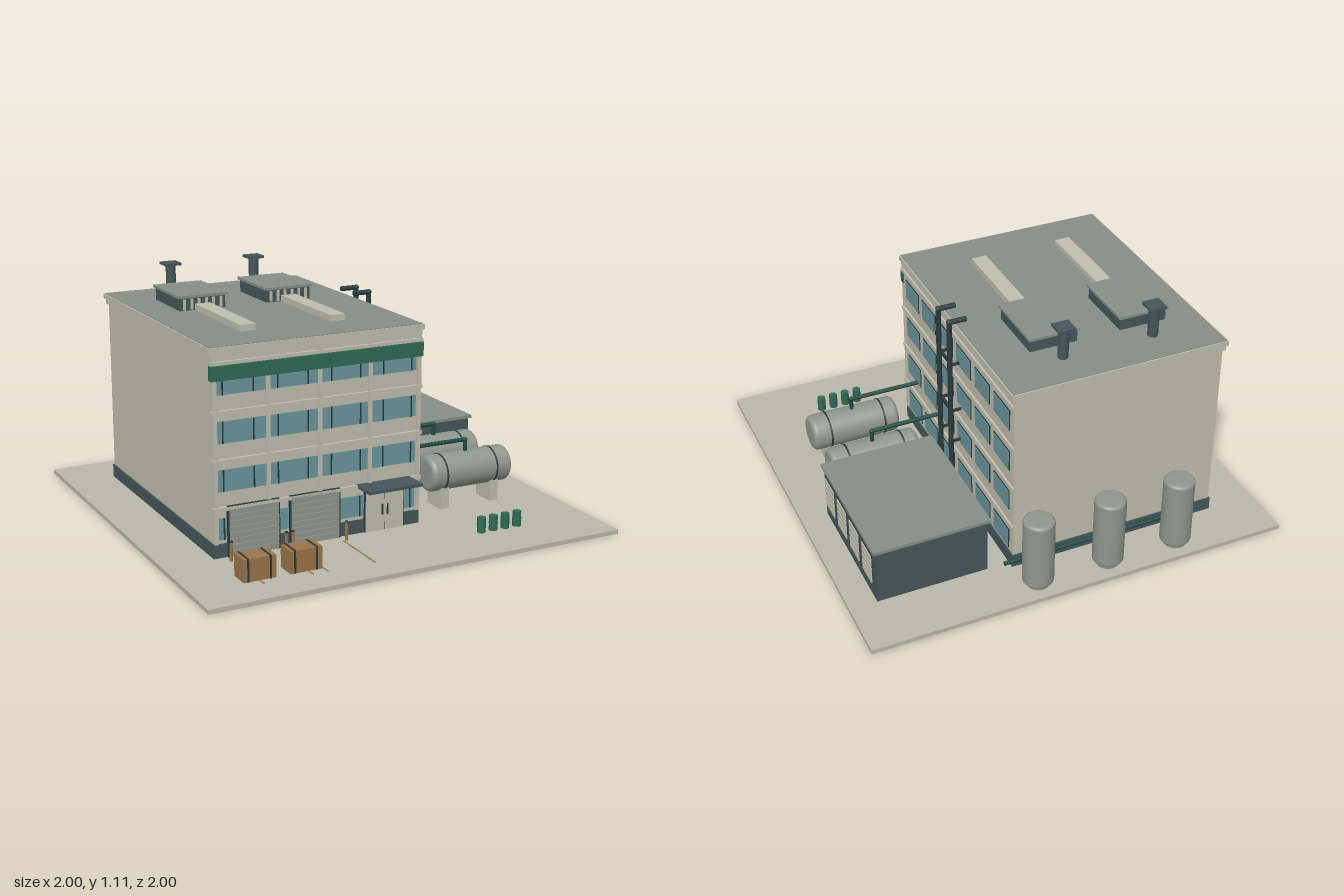
import * as THREE from 'three';

const mat = (name, color) => {
  const m = new THREE.MeshStandardMaterial({ color });
  m.name = name;
  return m;
};

export function createModel() {
  const model = new THREE.Group();
  model.name = 'factory';
  const M = {
    wall: mat('wall', 0xbfbdac),
    concrete: mat('concrete', 0xb9b7a8),
    roof: mat('roof grey', 0x868e86),
    slate: mat('slate', 0x45565a),
    glass: mat('glass', 0x6a949d),
    green: mat('green', 0x2f6a56),
    pipe: mat('pipe green', 0x1f4a42),
    dark: mat('dark metal', 0x2b3b3e),
    metal: mat('tank metal', 0x8f968e),
    wood: mat('wood', 0x9a744a),
  };

  const add = (name, geo, m, x = 0, y = 0, z = 0) => {
    const mesh = new THREE.Mesh(geo, m);
    mesh.name = name;
    mesh.position.set(x, y, z);
    model.add(mesh);
    return mesh;
  };
  // Box given by its extents on each axis
  const box = (name, m, x0, x1, y0, y1, z0, z1) =>
    add(name, new THREE.BoxGeometry(x1 - x0, y1 - y0, z1 - z0), m, (x0 + x1) / 2, (y0 + y1) / 2, (z0 + z1) / 2);
  const cyl = (name, m, r, y0, y1, x, z, n = 20) =>
    add(name, new THREE.CylinderGeometry(r, r, y1 - y0, n), m, x, (y0 + y1) / 2, z);
  // Straight pipe runs with ball elbows
  const pipe = (name, m, r, pts) => {
    const v = pts.map((p) => new THREE.Vector3(...p));
    for (let i = 1; i < v.length; i++) {
      const d = v[i].clone().sub(v[i - 1]);
      const run = add(name, new THREE.CylinderGeometry(r, r, d.length(), 12), m);
      run.position.copy(v[i]).add(v[i - 1]).multiplyScalar(0.5);
      run.quaternion.setFromUnitVectors(new THREE.Vector3(0, 1, 0), d.normalize());
      if (i < v.length - 1) add(name + 'Elbow', new THREE.SphereGeometry(r * 1.1, 12, 8), m, ...pts[i]);
    }
  };
  // Closed vessel with rounded shoulders, centred along y
  const vessel = (r, len, e) => {
    const pts = [new THREE.Vector2(0, -len / 2)];
    for (const s of [-1, 1]) {
      for (let i = 0; i <= 4; i++) {
        const a = ((s < 0 ? i : 4 - i) / 4) * Math.PI / 2;
        pts.push(new THREE.Vector2(r - e + e * Math.sin(a), s * (len / 2 - e + e * Math.cos(a))));
      }
    }
    pts.push(new THREE.Vector2(0, len / 2));
    return new THREE.LatheGeometry(pts, 28);
  };

  // Ground slab
  box('groundSlab', M.concrete, -1, 1, 0, 0.02, -1, 1);

  // Main block
  box('mainBlock', M.wall, -0.76, 0.24, 0.02, 0.9, -0.755, 0.505);
  box('plinth', M.slate, -0.766, 0.246, 0.02, 0.083, -0.761, 0.511);
  box('cornice', M.wall, -0.772, 0.247, 0.9, 0.925, -0.762, 0.517);
  box('coping', M.wall, -0.78, 0.254, 0.925, 0.948, -0.768, 0.523);
  box('roof', M.roof, -0.774, 0.248, 0.94, 0.951, -0.762, 0.517);

  // Floor ledges on the front and right side
  for (const y of [0.24, 0.452, 0.665, 0.877]) {
    box('frontLedge', M.wall, -0.768, 0.25, y - 0.008, y + 0.008, 0.5, 0.52);
    box('sideLedge', M.wall, 0.235, 0.25, y - 0.008, y + 0.008, -0.758, 0.51);
  }

  // Windows
  const floors = [0.1, 0.315, 0.528, 0.74];
  for (const y of floors) {
    box('frontGlass', M.glass, -0.74, 0.222, y, y + 0.097, 0.504, 0.509);
    for (let i = 0; i < 4; i++) {
      for (const x of [-0.715, -0.572]) {
        const c = x + i * 0.2567;
        box('frontMullion', M.dark, c - 0.003, c + 0.003, y, y + 0.097, 0.506, 0.512);
      }
    }
    for (let i = 0; i < 6; i++) {
      const z = 0.392 - i * 0.2054;
      box('sideWindowFrame', M.dark, 0.238, 0.243, y - 0.003, y + 0.1, z - 0.081, z + 0.081);
      box('sideWindowGlass', M.glass, 0.24, 0.2455, y + 0.002, y + 0.095, z - 0.076, z + 0.076);
    }
  }
  // Front pilasters and green fascia
  for (let i = 0; i < 5; i++) {
    const x = -0.752 + i * 0.247;
    box('pilaster', M.wall, x - 0.009, x + 0.009, 0.083, 0.9, 0.5, 0.516);
  }
  box('fascia', M.green, -0.772, 0.246, 0.806, 0.87, 0.5, 0.53);

  // Roller doors with slats
  for (const [x0, x1] of [[-0.702, -0.455], [-0.408, -0.16]]) {
    box('rollerDoorFrame', M.dark, x0, x1, 0.02, 0.25, 0.5, 0.518);
    box('rollerDoor', M.metal, x0 + 0.008, x1 - 0.008, 0.02, 0.242, 0.5, 0.52);
    for (let i = 0; i < 8; i++) {
      const y = 0.03 + i * 0.0265;
      box('rollerSlat', M.metal, x0 + 0.008, x1 - 0.008, y, y + 0.021, 0.515, 0.525);
    }
  }

  // Entrance with double door and canopy
  box('entranceFrame', M.dark, -0.038, 0.163, 0.02, 0.236, 0.5, 0.517);
  for (const s of [-1, 1]) {
    const c = 0.0625 + s * 0.0485;
    box('entranceDoor', M.wall, c - 0.0465, c + 0.0465, 0.022, 0.232, 0.51, 0.522);
    const h = 0.0625 + s * 0.013;
    box('doorHandle', M.dark, h - 0.003, h + 0.003, 0.095, 0.145, 0.52, 0.528);
  }
  box('canopy', M.slate, -0.075, 0.195, 0.236, 0.25, 0.5, 0.628);

  // Back door
  box('backDoor', M.slate, -0.32, -0.21, 0.02, 0.215, -0.768, -0.75);

  // Rooftop units, ducts and flues
  for (const x of [-0.5, -0.064]) {
    box('roofUnit', M.slate, x - 0.113, x + 0.113, 0.945, 1.01, -0.5, -0.2);
    box('roofUnitTop', M.roof, x - 0.122, x + 0.122, 1.01, 1.022, -0.512, -0.19);
    for (let i = 0; i < 6; i++) {
      const c = x - 0.09 + i * 0.036;
      box('roofUnitFin', M.wall, c - 0.006, c + 0.006, 0.955, 1.005, -0.202, -0.194);
    }
    box('roofDuct', M.wall, x - 0.037, x + 0.037, 0.945, 0.98, -0.2, 0.302);
    cyl('flue', M.slate, 0.024, 0.945, 1.1, x, -0.59, 12);
    box('flueCap', M.slate, x - 0.04, x + 0.04, 1.095, 1.107, -0.63, -0.55);
  }

  // Side risers with brackets
  for (const z of [-0.06, -0.185]) {
    pipe('riser', M.dark, 0.012, [[0.21, 0.985, z], [0.292, 0.985, z], [0.292, 0.05, z]]);
    for (const y of [0.34, 0.51, 0.76]) box('riserBracket', M.dark, 0.24, 0.292, y - 0.005, y + 0.005, z - 0.006, z + 0.006);
  }
  for (const y of [0.51, 0.76]) box('riserTie', M.dark, 0.278, 0.29, y - 0.006, y + 0.006, -0.185, -0.06);

  // Annex with louvres
  box('annex', M.slate, 0.35, 0.872, 0.02, 0.288, -0.728, -0.066);
  box('annexRoof', M.roof, 0.338, 0.884, 0.288, 0.303, -0.74, -0.055);
  for (let p = 0; p < 4; p++) {
    const z = -0.143 - p * 0.161;
    box('louvreBack', M.dark, 0.868, 0.874, 0.085, 0.243, z - 0.06, z + 0.06);
    for (let i = 0; i < 5; i++) {
      const y = 0.088 + i * 0.0315;
      box('louvreSlat', M.wall, 0.87, 0.879, y, y + 0.024, z - 0.057, z + 0.057);
    }
  }

  // Horizontal tanks on saddles with feed pipes
  for (const z of [0.06, 0.347]) {
    add('storageTank', vessel(0.086, 0.435, 0.025), M.metal, 0.592, 0.185, z).rotation.z = Math.PI / 2;
    for (const x of [0.45, 0.722]) {
      add('tankBand', new THREE.CylinderGeometry(0.088, 0.088, 0.008, 28), M.dark, x, 0.185, z).rotation.z = Math.PI / 2;
      box('tankSaddle', M.wall, x - 0.022, x + 0.022, 0.02, 0.14, z - 0.06, z + 0.06);
    }
    pipe('feedPipe', M.pipe, 0.01, [[0.23, 0.325, z], [0.592, 0.325, z], [0.592, 0.25, z]]);
  }

  // Upright tanks behind, with manifold
  for (const x of [-0.5, -0.157, 0.187]) {
    add('uprightTank', vessel(0.071, 0.34, 0.016), M.metal, x, 0.21, -0.903);
    cyl('tankFoot', M.metal, 0.05, 0.02, 0.045, x, -0.903);
    pipe('manifoldBranch', M.pipe, 0.009, [[x, 0.075, -0.785], [x, 0.075, -0.85]]);
  }
  pipe('manifold', M.pipe, 0.01, [[-0.508, 0.075, -0.785], [0.295, 0.075, -0.785]]);

  // Bollards and ground stripes by the roller doors
  for (const x of [-0.708, -0.447, -0.416, -0.153]) {
    cyl('bollard', M.wood, 0.007, 0.02, 0.104, x, 0.562, 10);
    cyl('bollardCap', M.dark, 0.0075, 0.104, 0.11, x, 0.562, 10);
  }
  for (const x of [-0.69, -0.465, -0.395, -0.17]) box('groundStripe', M.wood, x - 0.003, x + 0.003, 0.019, 0.0225, 0.565, 0.855);

  // Crates with straps
  for (const x of [-0.688, -0.474]) {
    box('crate', M.wood, x - 0.075, x + 0.075, 0.02, 0.12, 0.718, 0.812);
    for (const s of [-0.054, 0.048]) box('crateStrap', M.dark, x + s - 0.004, x + s + 0.004, 0.02, 0.123, 0.715, 0.815);
  }

  // Drums
  for (let i = 0; i < 4; i++) {
    const x = 0.434 + i * 0.063;
    cyl('drum', M.green, 0.02, 0.02, 0.09, x, 0.745, 16);
    cyl('drumRim', M.green, 0.0215, 0.053, 0.058, x, 0.745, 16);
  }
  return model;
}
